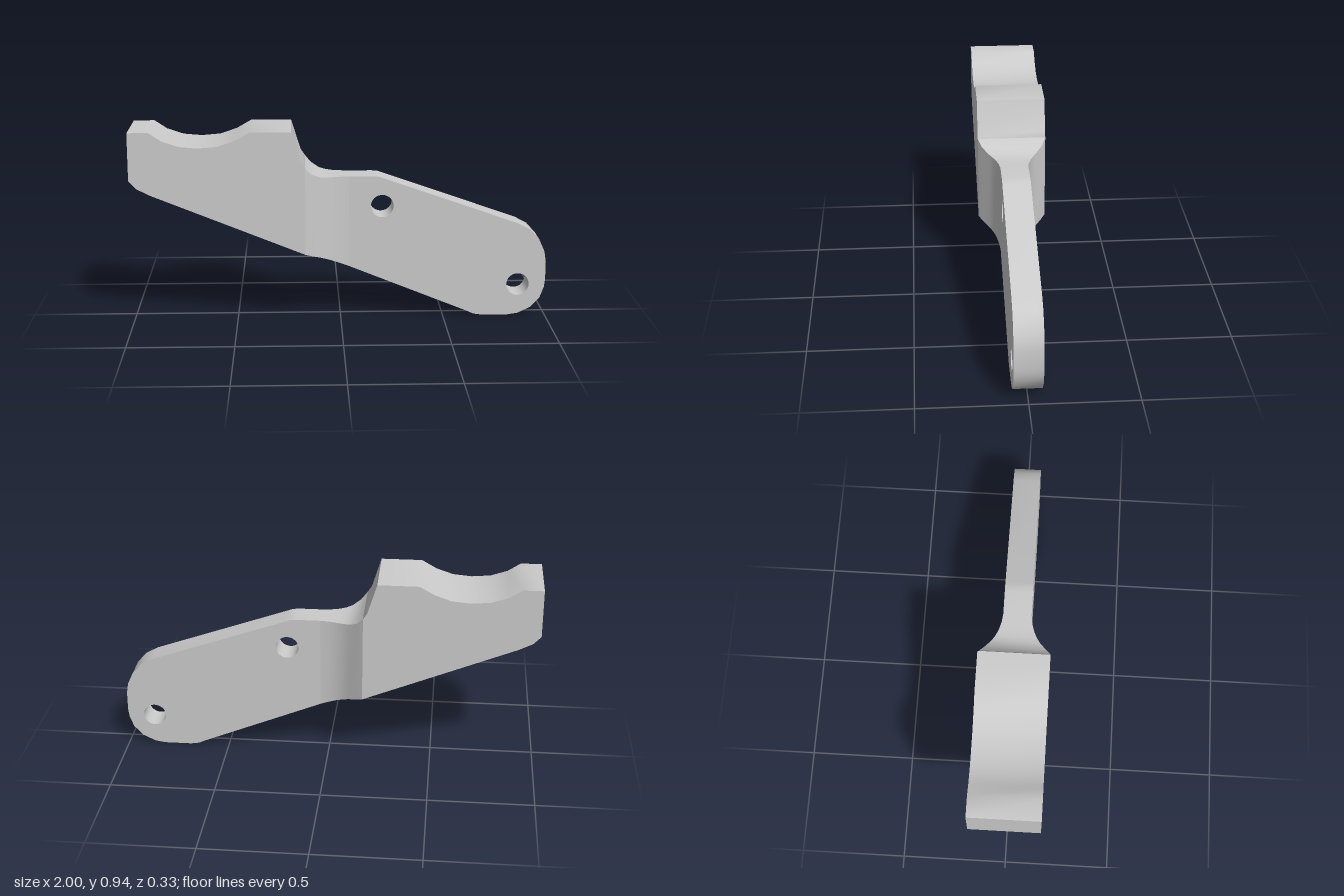
import * as THREE from 'three';
import { toCreasedNormals } from 'three/addons/utils/BufferGeometryUtils.js';

const BLOCK_HALF = 0.165, PLATE_HALF = 0.067;
const NECK_START = -0.17, NECK_END = 0.04;

// straight sloping underside shared by all three parts
const underside = (x) => 0.271 - 0.4046 * x;

function addPart(group, name, geometry) {
  const material = new THREE.MeshStandardMaterial({ color: 0xcccccc });
  const mesh = new THREE.Mesh(toCreasedNormals(geometry, 0.6), material);
  mesh.name = name;
  group.add(mesh);
}

// side profile extruded evenly about z = 0, with round holes [x, y, radius]
function slab(points, half, holes = []) {
  const shape = new THREE.Shape(points.map(([x, y]) => new THREE.Vector2(x, y)));
  for (const [x, y, r] of holes) {
    shape.holes.push(new THREE.Path().absarc(x, y, r, 0, Math.PI * 2, true));
  }
  const geometry = new THREE.ExtrudeGeometry(shape, { depth: half * 2, bevelEnabled: false, curveSegments: 16 });
  return geometry.translate(0, 0, -half);
}

// rectangular sections [x, top, half width] joined into an open-ended tube
function loft(stations) {
  const rings = stations.map(([x, top, half]) => [
    [x, top, half], [x, top, -half], [x, underside(x), -half], [x, underside(x), half],
  ]);
  const positions = [];
  for (let i = 0; i < rings.length - 1; i++) {
    for (let j = 0; j < 4; j++) {
      const k = (j + 1) % 4;
      const a = rings[i][j], b = rings[i][k], c = rings[i + 1][k], d = rings[i + 1][j];
      positions.push(...a, ...d, ...c, ...a, ...c, ...b);
    }
  }
  const geometry = new THREE.BufferGeometry();
  geometry.setAttribute('position', new THREE.Float32BufferAttribute(positions, 3));
  return geometry;
}

export function createModel() {
  const group = new THREE.Group();
  group.name = 'saddleBracket';

  // wide block with the shallow saddle in its top
  addPart(group, 'saddleBlock', slab([
    [-1, 0.705], [-0.965, 0.668], [-0.9, 0.635],
    [NECK_START, underside(NECK_START)], [NECK_START, 0.76], [-0.19, 0.79],
    [-0.235, 0.935], [-0.43, 0.935],
    [-0.5, 0.895], [-0.58, 0.868], [-0.67, 0.86], [-0.76, 0.868], [-0.84, 0.895],
    [-0.9, 0.935], [-1, 0.935],
  ], BLOCK_HALF));

  // neck flaring from the plate out to the block
  addPart(group, 'neck', loft([
    [NECK_START, 0.76, BLOCK_HALF],
    [-0.14, 0.727, 0.145],
    [-0.1, 0.707, 0.114],
    [-0.07, 0.702, 0.096],
    [-0.04, 0.7, 0.083],
    [0, 0.7, 0.072],
    [NECK_END, 0.7, PLATE_HALF],
  ]));

  // thin mounting plate with a rounded end and two bolt holes
  addPart(group, 'mountingPlate', slab([
    [NECK_END, underside(NECK_END)], [0.62, 0.02], [0.65, 0.006], [0.69, 0],
    [0.82, 0], [0.87, 0.008], [0.93, 0.037], [0.975, 0.085], [0.995, 0.14], [1, 0.18],
    [1, 0.27], [0.992, 0.32], [0.965, 0.38], [0.92, 0.43], [0.86, 0.462],
    [0.21, 0.688], [0.185, 0.697], [0.155, 0.7], [NECK_END, 0.7],
  ], PLATE_HALF, [[0.2, 0.553, 0.055], [0.865, 0.155, 0.055]]));

  return group;
}
